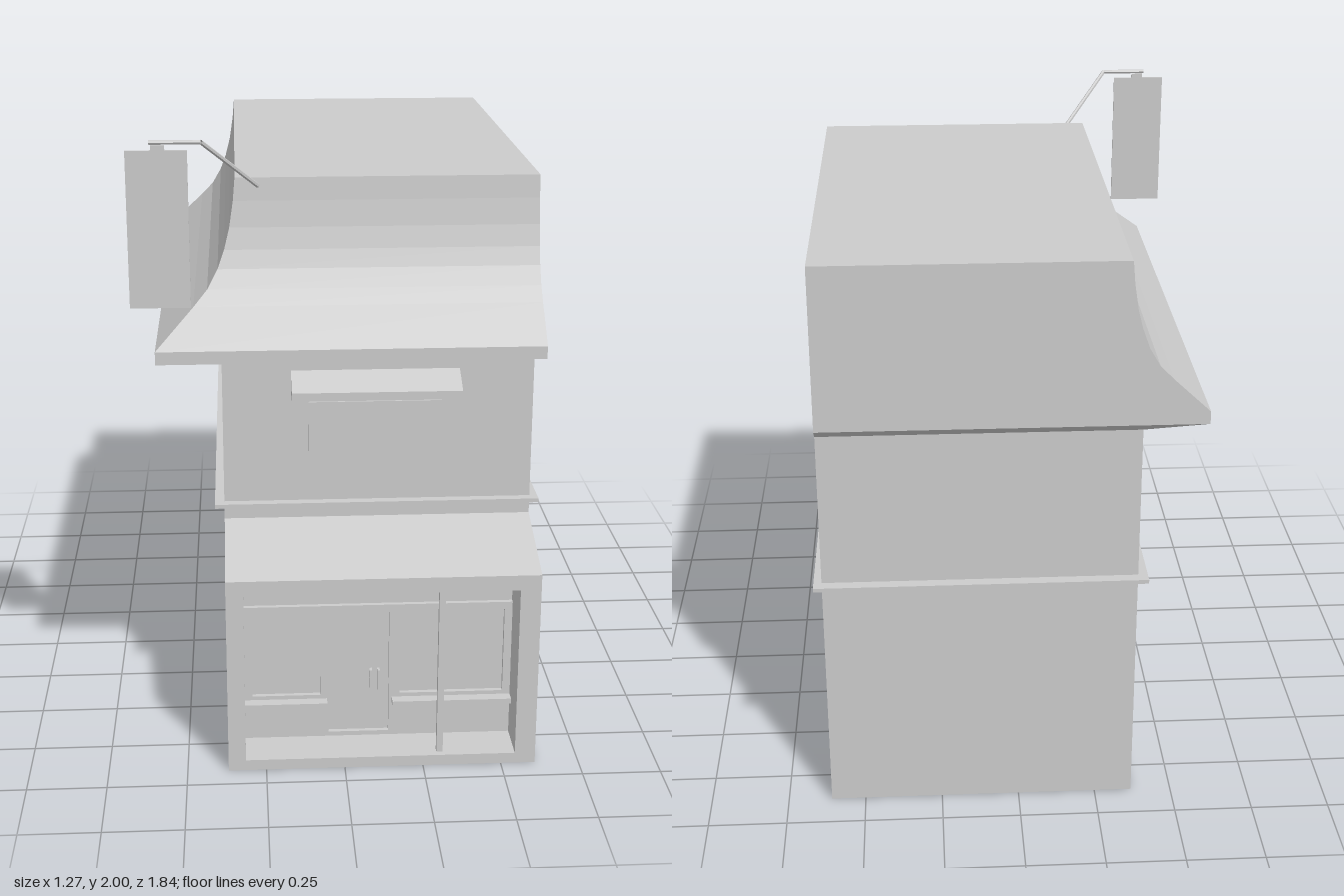
import * as THREE from 'three';

const grey = new THREE.MeshStandardMaterial({ color: 0xcccccc, flatShading: true, side: THREE.DoubleSide });

export function createModel() {
  const model = new THREE.Group();

  function add(name, geometry, parent = model) {
    const mesh = new THREE.Mesh(geometry, grey);
    mesh.name = name;
    parent.add(mesh);
    return mesh;
  }
  // Box given by its limits on each axis
  function box(name, x0, x1, y0, y1, z0, z1, parent) {
    const mesh = add(name, new THREE.BoxGeometry(x1 - x0, y1 - y0, z1 - z0), parent);
    mesh.position.set((x0 + x1) / 2, (y0 + y1) / 2, (z0 + z1) / 2);
    return mesh;
  }
  const shape = (pts) => new THREE.Shape(pts.map(([a, b]) => new THREE.Vector2(a, b)));
  const rect = (a0, a1, b0, b1) => shape([[a0, b0], [a1, b0], [a1, b1], [a0, b1]]);
  const extrude = (s, depth) => new THREE.ExtrudeGeometry(s, { depth, bevelEnabled: false });

  // Joins consecutive rows of points with quads
  function loft(rows, closed) {
    const pos = [];
    for (let i = 0; i < rows.length - 1; i++) {
      const n = rows[i].length;
      for (let j = 0; j < (closed ? n : n - 1); j++) {
        const k = (j + 1) % n;
        const a = rows[i][j], b = rows[i][k], c = rows[i + 1][k], d = rows[i + 1][j];
        pos.push(...a, ...b, ...c, ...a, ...c, ...d);
      }
    }
    const g = new THREE.BufferGeometry();
    g.setAttribute('position', new THREE.Float32BufferAttribute(pos, 3));
    g.computeVertexNormals();
    return g;
  }

  const L = -0.37, R = 0.61, BACK = -0.88, FRONT = 0.92, UPPER = 0.64;

  // Building shell, open underneath: two side walls, back, and stepped front
  const profile = [[BACK, 0], [FRONT, 0], [FRONT, 0.655], [UPPER, 0.75], [UPPER, 1.305], [BACK, 1.305]];
  for (const [name, x, turn] of [['leftWall', R, 1], ['rightWall', L, -1]]) {
    const side = shape(profile.map(([z, y]) => [-turn * z, y]));
    const wall = add(name, new THREE.ShapeGeometry(side));
    wall.rotation.y = turn * Math.PI / 2;
    wall.position.x = x;
  }
  const across = (pts) => loft(pts.map(([z, y]) => [[L, y, z], [R, y, z]]));
  add('upperFrontWall', across(profile.slice(2, 5)));
  add('backWall', across([[BACK, 1.305], [BACK, 0]]));

  // Shop front: wall with an opening and a recessed room behind it
  const shop = new THREE.Group();
  shop.name = 'shopFront';
  model.add(shop);
  const sx0 = -0.315, sx1 = 0.545, sy0 = 0.035, sy1 = 0.605, panelZ = 0.78;
  const front = rect(L, R, 0, 0.655);
  front.holes.push(rect(sx0, sx1, sy0, sy1));
  add('shopSurround', new THREE.ShapeGeometry(front), shop).position.z = FRONT;
  const ring = (z) => [[sx0, sy0, z], [sx1, sy0, z], [sx1, sy1, z], [sx0, sy1, z]];
  add('recessSides', loft([ring(0.59), ring(FRONT)], true), shop);
  add('recessBack', new THREE.ShapeGeometry(rect(sx0, sx1, sy0, sy1)), shop).position.z = 0.59;

  // Panel with window and door openings
  const panel = rect(sx0, sx1, sy0, 0.5);
  const openings = [
    ['rightWindow', -0.29, -0.07, 0.185, 0.475],
    ['door', -0.045, 0.15, 0.05, 0.475],
    ['leftWindow', 0.185, 0.52, 0.185, 0.475],
  ];
  for (const [name, ...r] of openings) {
    panel.holes.push(rect(...r));
    box(name, ...r, panelZ - 0.03, panelZ - 0.015, shop);
  }
  add('shopPanel', extrude(panel, 0.02), shop).position.z = panelZ - 0.02;
  box('shopFascia', sx0, sx1, 0.5, sy1, panelZ - 0.035, panelZ - 0.015, shop);
  box('rightSill', sx0, -0.05, 0.155, 0.172, panelZ, panelZ + 0.035, shop);
  box('leftSill', 0.16, sx1, 0.155, 0.172, panelZ, panelZ + 0.035, shop);
  for (const x of [0.092, 0.117]) box('doorHandle', x - 0.004, x + 0.004, 0.2, 0.27, panelZ - 0.015, panelZ + 0.005, shop);
  box('post', 0.295, 0.315, sy0, sy1, 0.88, 0.9, shop);

  // Thin ledge running round the building
  const ledge = rect(-0.4, 0.635, -0.67, 0.915);
  ledge.holes.push(rect(L + 0.01, R - 0.01, -UPPER + 0.01, -BACK - 0.01));
  const ledgeMesh = add('ledge', extrude(ledge, 0.013));
  ledgeMesh.rotation.x = -Math.PI / 2;
  ledgeMesh.position.y = 0.796;

  // Upper window panel and its small awning
  box('upperWindow', -0.1, 0.32, 0.9, 1.14, UPPER - 0.005, 0.648);
  const awning = add('awning', extrude(
    shape([[-UPPER, 1.17], [-0.73, 1.17], [-0.73, 1.197], [-UPPER, 1.243]]), 0.53));
  awning.rotation.y = Math.PI / 2;
  awning.position.x = -0.155;

  // Roof flaring over the front and right side, flush on the other two
  const flare = [[0, 1.85], [0.006, 1.78], [0.018, 1.7], [0.034, 1.635], [0.054, 1.58],
    [0.085, 1.525], [0.125, 1.482], [0.235, 1.375], [0.235, 1.335]];
  const roofRing = (x, y, zf, zb) => [[x, y, zf], [R, y, zf], [R, y, zb], [x, y, zb]];
  const rings = flare.map(([d, y]) => roofRing(-0.32 - d * 1.04, y, 0.62 + d, -0.915));
  rings.push(roofRing(L, 1.305, UPPER, BACK));
  rings.reverse();
  add('roof', loft(rings, true));
  const top = add('roofTop', new THREE.PlaneGeometry(R + 0.32, 0.62 + 0.915));
  top.rotation.x = -Math.PI / 2;
  top.position.set((R - 0.32) / 2, 1.85, (0.62 - 0.915) / 2);

  // Hanging sign on a bent arm
  const sign = new THREE.Group();
  sign.name = 'hangingSign';
  model.add(sign);
  box('signBoard', -0.635, -0.455, 1.5, 1.97, 0.808, 0.816, sign);
  box('signBracket', -0.56, -0.52, 1.967, 1.985, 0.808, 0.816, sign);
  const bend = [[-0.565, 1.993, 0.812], [-0.415, 1.993, 0.812], [-0.25, 1.825, 0.622]]
    .map((p) => new THREE.Vector3(...p));
  for (let i = 0; i < 2; i++) {
    add('signArm', new THREE.TubeGeometry(new THREE.LineCurve3(bend[i], bend[i + 1]), 1, 0.007, 6), sign);
  }

  return model;
}
